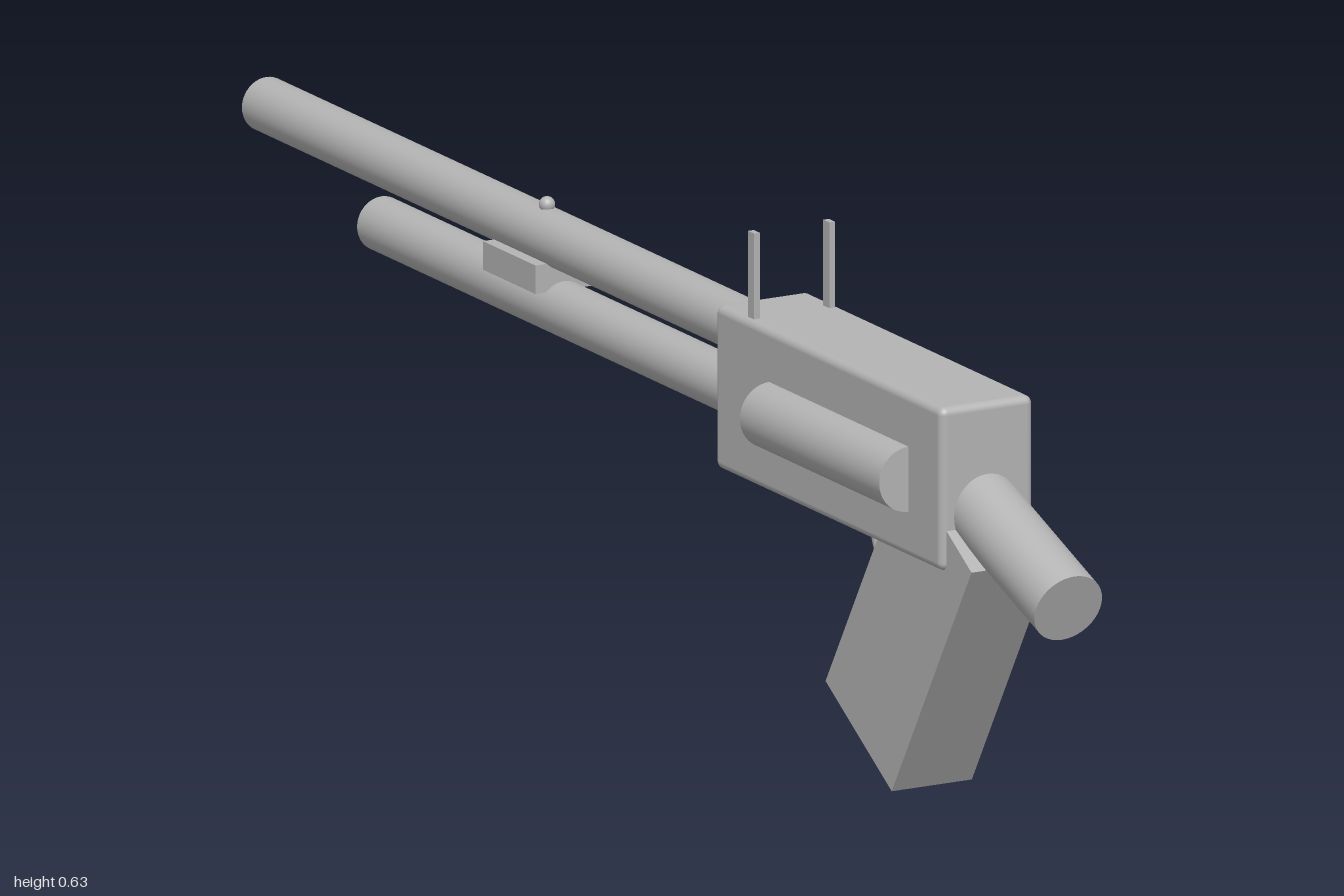
import * as THREE from 'three';
import { RoundedBoxGeometry } from 'three/addons/geometries/RoundedBoxGeometry.js';

const CX = 0.015; // centre plane of the body

export function createModel() {
  const model = new THREE.Group();
  const grey = new THREE.MeshStandardMaterial({ color: 0xb3b3b3 });
  grey.name = 'grey';

  const add = (name, geometry, x, y, z, tilt = 0) => {
    const mesh = new THREE.Mesh(geometry, grey);
    mesh.name = name;
    mesh.position.set(x, y, z);
    mesh.rotation.x = tilt;
    model.add(mesh);
    return mesh;
  };
  const box = (w, h, d) => new THREE.BoxGeometry(w, h, d);
  // cylinder lying along z
  const rod = (r, length) => new THREE.CylinderGeometry(r, r, length, 40).rotateX(Math.PI / 2);

  // receiver with softened edges
  add('receiver', new RoundedBoxGeometry(0.13, 0.206, 0.56, 4, 0.01), CX, 0.422, 0.505);

  // barrel and the shorter tube below it, reaching into the receiver
  add('barrel', rod(0.034, 1.25), CX, 0.479, -0.375);
  add('lowerTube', rod(0.034, 0.965), CX, 0.396, -0.2325);
  add('barrelClamp', box(0.08, 0.036, 0.13), CX, 0.437, -0.328);
  add('sightBead', new THREE.SphereGeometry(0.01, 20, 14), CX, 0.517, -0.305);

  // two upright sight posts
  for (const side of [-1, 1]) {
    add(side < 0 ? 'rightSightPost' : 'leftSightPost', box(0.008, 0.128, 0.015), CX - 0.001 + side * 0.0525, 0.569, 0.302);
  }

  // side details
  add('sidePlate', box(0.014, 0.073, 0.16), 0.082, 0.459, 0.455);
  add('sideCylinder', rod(0.041, 0.345), -0.05, 0.418, 0.5325);

  // stub at the rear, sloping down
  const slope = 0.348;
  const stubLength = 0.3;
  add('stockStub', rod(0.0465, stubLength), CX,
    0.313 + Math.sin(slope) * stubLength / 2, 0.985 - Math.cos(slope) * stubLength / 2, slope);

  // raked grip and the small peg under it
  const rake = 0.55;
  add('grip', box(0.112, 0.378, 0.192), 0.014, 0.2215, 0.666, rake);
  add('gripPeg', box(0.028, 0.1, 0.045), 0.014, 0.055, 0.578, -0.63);

  // trigger and its curved guard
  add('trigger', new THREE.CylinderGeometry(0.01, 0.01, 0.08, 20), CX, 0.334, 0.601, rake);
  const guard = new THREE.TorusGeometry(0.055, 0.01, 14, 40, Math.PI * 1.25);
  guard.rotateZ(Math.PI * 0.875).rotateY(Math.PI / 2).scale(1, 1, -1);
  // restore outward facing after mirroring
  const index = guard.getIndex();
  for (let i = 0; i < index.count; i += 3) {
    const a = index.getX(i);
    index.setX(i, index.getX(i + 1));
    index.setX(i + 1, a);
  }
  guard.computeVertexNormals();
  add('triggerGuard', guard, CX, 0.31, 0.57);

  return model;
}
